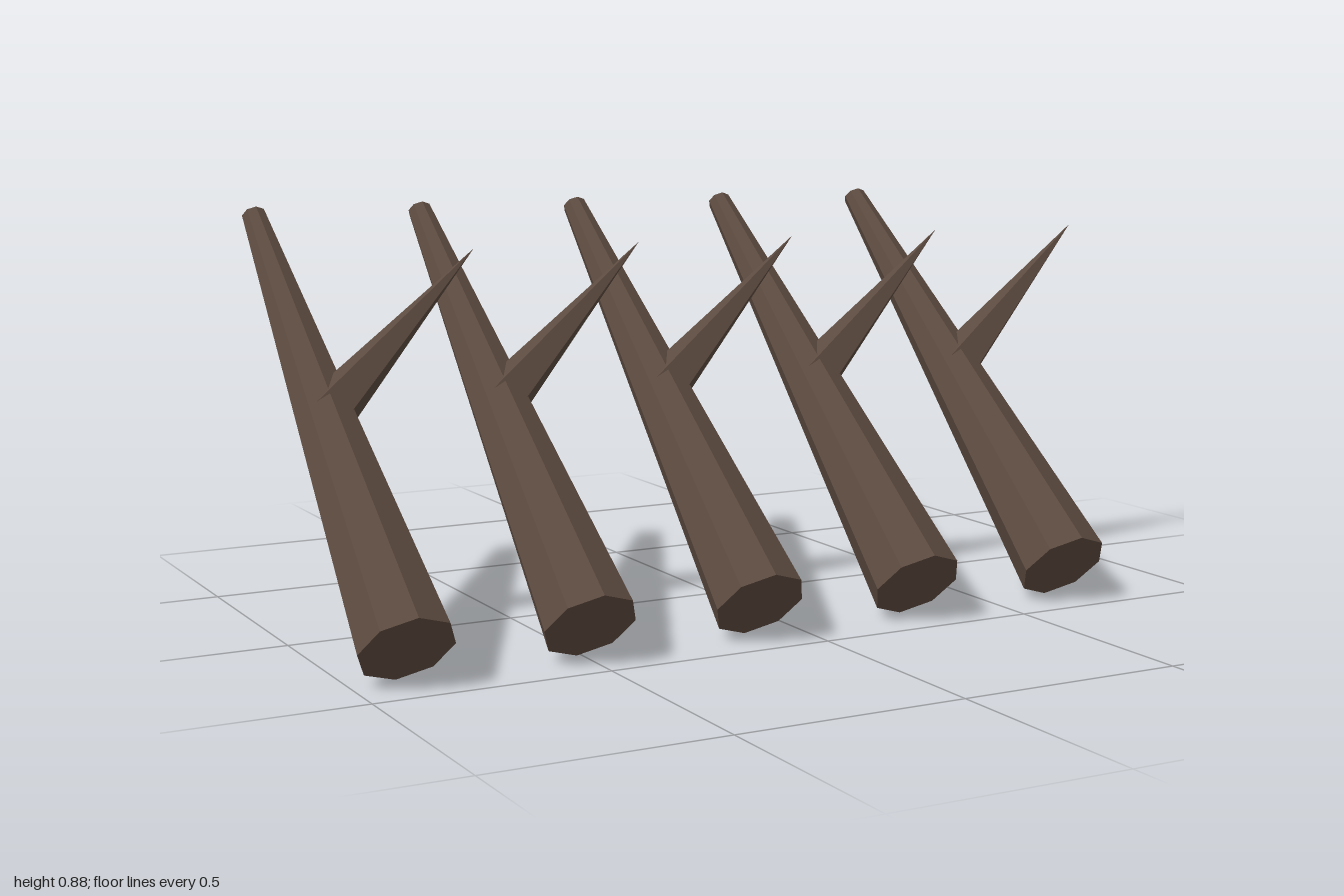
import * as THREE from 'three';

const COUNT = 5, SPACING = 0.39, FIRST_X = -0.9;
const TILT = -0.853; // logs lean back
const MID_Y = 0.469, MID_Z = -0.0225;

export function createModel() {
  const group = new THREE.Group();
  group.name = 'spikedLogBarricade';

  const wood = new THREE.MeshStandardMaterial({ color: 0x5c4a3f, flatShading: true });

  // Tapered eight-sided log
  const logGeometry = new THREE.CylinderGeometry(0.027, 0.101, 1.188, 8);
  logGeometry.rotateX(TILT);

  // Five-sided side spike growing from the log's centre at 45 degrees
  const length = 0.475;
  const spikeGeometry = new THREE.ConeGeometry(0.06, length, 5, 1, false, Math.PI / 2);
  spikeGeometry.translate(0, length / 2, 0);
  spikeGeometry.rotateZ(-Math.PI / 4);

  for (let i = 0; i < COUNT; i++) {
    const stake = new THREE.Group();
    stake.name = `stake${i + 1}`;
    stake.position.set(FIRST_X + i * SPACING, MID_Y, MID_Z + 0.0225 - 0.0225);

    const log = new THREE.Mesh(logGeometry, wood);
    log.name = 'log';
    const spike = new THREE.Mesh(spikeGeometry, wood);
    spike.name = 'sideSpike';
    stake.add(log, spike);
    group.add(stake);
  }
  return group;
}
